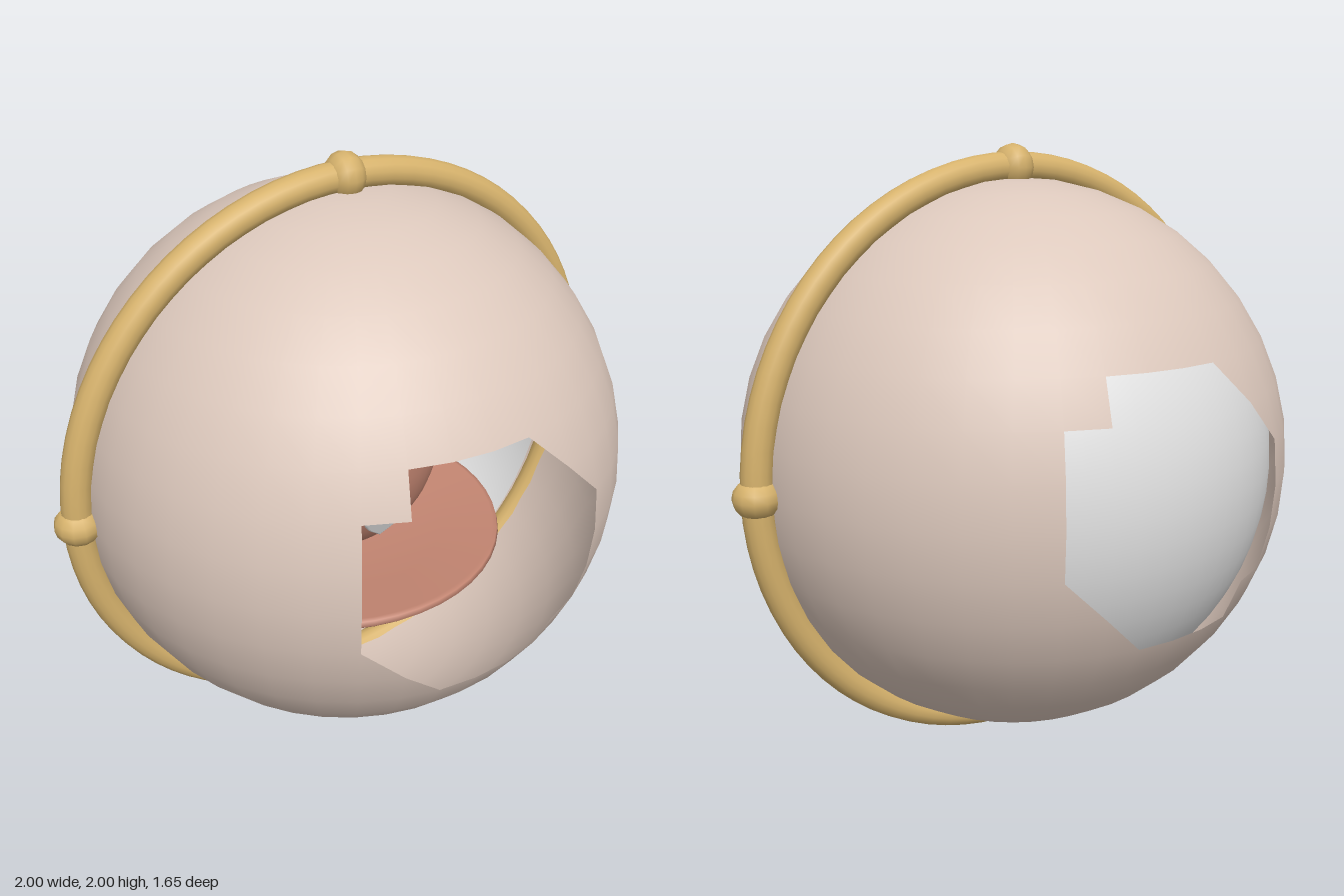
import * as THREE from 'three';

const mat = (name, color, side = THREE.FrontSide) => {
  const m = new THREE.MeshStandardMaterial({ color, side });
  m.name = name;
  return m;
};

export function createModel() {
  const model = new THREE.Group();
  model.name = 'cupOrnament';
  const body = new THREE.Group();
  body.name = 'ornament';
  body.position.set(0, 1, 0.015);
  model.add(body);

  const blush = mat('blush shell', 0xdcc8bc, THREE.DoubleSide);
  const white = mat('soft white', 0xe2e2e2, THREE.DoubleSide);
  const gold = mat('gold', 0xd6b26c);
  const clay = mat('clay', 0xc48672, THREE.DoubleSide);

  const add = (parent, name, geo, material, x = 0, y = 0, z = 0) => {
    const mesh = new THREE.Mesh(geo, material);
    mesh.name = name;
    mesh.position.set(x, y, z);
    parent.add(mesh);
    return mesh;
  };

  // Shell: sphere with the faces around the front and back poles cut away
  const shell = new THREE.SphereGeometry(0.895, 40, 20);
  const pos = shell.attributes.position;
  const idx = shell.index.array;
  const kept = [];
  const v = new THREE.Vector3();
  const c = new THREE.Vector3();
  for (let i = 0; i < idx.length; i += 3) {
    c.set(0, 0, 0);
    for (let k = 0; k < 3; k++) c.add(v.fromBufferAttribute(pos, idx[i + k]));
    c.normalize();
    const lat = Math.asin(c.y);
    const lon = Math.atan2(c.x, Math.abs(c.z));
    if (Math.hypot(lat, lon) > 0.482) kept.push(idx[i], idx[i + 1], idx[i + 2]);
  }
  shell.setIndex(kept);
  add(body, 'shell', shell, blush);

  // Backdrop: half dome lining the rear
  add(body, 'backDome', new THREE.SphereGeometry(0.845, 32, 32, Math.PI, Math.PI), white);

  // Outer ring with four beads
  add(body, 'ring', new THREE.TorusGeometry(0.925, 0.048, 14, 80), gold);
  for (let i = 0; i < 4; i++) {
    const a = (i * Math.PI) / 2;
    const bead = add(body, 'ringBead', new THREE.SphereGeometry(0.074, 12, 8), gold,
      0.925 * Math.cos(a), 0.925 * Math.sin(a), 0);
    bead.rotation.z = a;
    bead.scale.y = 0.85;
  }

  // Cup and saucer
  const set = new THREE.Group();
  set.name = 'cupAndSaucer';
  set.position.z = -0.115;
  body.add(set);
  const lathe = (pts) => new THREE.LatheGeometry(pts.map((p) => new THREE.Vector2(...p)), 48);

  const outer = new THREE.SplineCurve([
    [0.14, -0.41], [0.2, -0.36], [0.285, -0.28], [0.345, -0.18], [0.378, -0.07], [0.388, 0.025],
  ].map((p) => new THREE.Vector2(...p))).getPoints(16).map((p) => [p.x, p.y]);
  add(set, 'cup', lathe([
    [0, -0.41], ...outer, [0.38, 0.035], [0.365, 0.025],
    [0.35, -0.08], [0.31, -0.19], [0.24, -0.29], [0.13, -0.36], [0, -0.37],
  ]), clay);
  add(set, 'saucer', lathe([
    [0, -0.45], [0.2, -0.45], [0.4, -0.425], [0.59, -0.395], [0.605, -0.38],
    [0.6, -0.363], [0.585, -0.36], [0.4, -0.39], [0.2, -0.415], [0, -0.415],
  ]), clay);
  add(set, 'handle', new THREE.TorusGeometry(0.107, 0.035, 12, 32), clay, 0.41, -0.155, 0);

  // Heart on the cup front
  const h = new THREE.Shape();
  h.moveTo(0, -0.06);
  h.bezierCurveTo(-0.025, -0.035, -0.063, -0.01, -0.063, 0.022);
  h.bezierCurveTo(-0.063, 0.06, -0.012, 0.062, 0, 0.03);
  h.bezierCurveTo(0.012, 0.062, 0.063, 0.06, 0.063, 0.022);
  h.bezierCurveTo(0.063, -0.01, 0.025, -0.035, 0, -0.06);
  const heart = add(set, 'heart', new THREE.ExtrudeGeometry(h, {
    depth: 0.02, bevelEnabled: true, bevelThickness: 0.014, bevelSize: 0.008, bevelSegments: 4, curveSegments: 10,
  }), white, 0, -0.157, 0.345);
  heart.rotation.x = 0.4;

  // Steam curl, tapering upward
  const path = new THREE.CatmullRomCurve3([
    [0.03, -0.06], [0.04, 0.04], [0.005, 0.11], [-0.05, 0.18], [-0.03, 0.26], [0.035, 0.32], [0.058, 0.39], [0.045, 0.46],
  ].map(([x, y]) => new THREE.Vector3(x, y, 0)));
  const rows = 48, sides = 12;
  const steam = new THREE.TubeGeometry(path, rows, 0.036, sides);
  const sp = steam.attributes.position;
  for (let i = 0; i < sp.count; i++) {
    const t = Math.floor(i / (sides + 1)) / rows;
    const centre = path.getPointAt(t);
    v.fromBufferAttribute(sp, i).sub(centre).multiplyScalar(1.1 - 0.6 * t).add(centre);
    sp.setXYZ(i, v.x, v.y, v.z);
  }
  add(set, 'steam', steam, white);

  return model;
}
